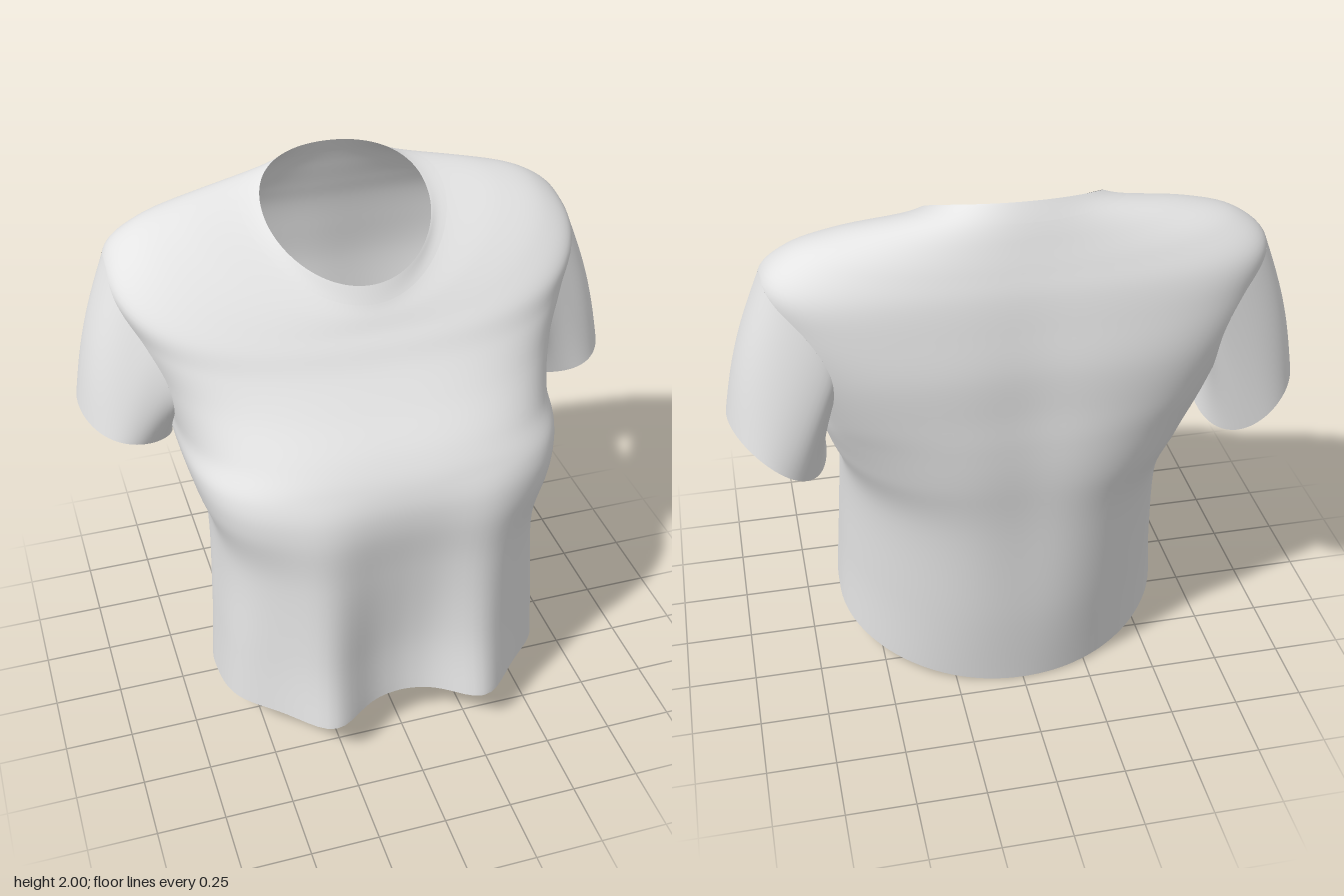
import * as THREE from 'three';

// Body rings from hem to neck:
// side x, side y, side z, front y, front z, back y, back z, front squareness, back squareness
const RINGS = [
  [0.63, 0.115, 0.08, 0.17, 0.485, 0.00, -0.45, 3.0, 2.05],
  [0.61, 0.40, 0.07, 0.42, 0.48, 0.36, -0.52, 3.1, 2.1],
  [0.595, 0.78, 0.02, 0.78, 0.515, 0.78, -0.57, 3.2, 2.25],
  [0.655, 1.00, -0.02, 1.00, 0.54, 1.00, -0.60, 3.3, 2.45],
  [0.685, 1.12, -0.08, 1.13, 0.52, 1.15, -0.61, 3.3, 2.6],
  [0.69, 1.22, -0.16, 1.24, 0.455, 1.28, -0.61, 3.1, 2.9],
  [0.74, 1.40, -0.22, 1.36, 0.34, 1.45, -0.61, 2.9, 3.2],
  [0.81, 1.58, -0.24, 1.46, 0.25, 1.60, -0.59, 2.7, 3.3],
  [0.85, 1.72, -0.24, 1.53, 0.20, 1.71, -0.57, 2.5, 3.1],
  [0.75, 1.815, -0.24, 1.57, 0.17, 1.79, -0.545, 2.3, 2.65],
  [0.58, 1.865, -0.24, 1.61, 0.145, 1.86, -0.52, 2.1, 2.3],
  [0.37, 1.89, -0.235, 1.65, 0.12, 1.94, -0.49, 2.0, 2.1],
  [0.30, 1.89, -0.20, 1.71, 0.09, 2.00, -0.46, 2.0, 2.1],
];
const COLLAR = 11; // ring where the collar band starts
const LAST = RINGS.length - 1;

// Armhole: an ellipse in (ring, angle) space
const HOLE = { u: 6.45, ru: 1.65, t: -0.1, rt: 0.6 };

// Smooth interpolation of a ring at fractional index u
function ringAt(u) {
  const i = Math.min(Math.floor(u), LAST - 1);
  const f = u - i;
  const row = (k) => RINGS[THREE.MathUtils.clamp(k, 0, LAST)];
  return RINGS[0].map((_, c) => {
    const [a, b, d, e] = [row(i - 1)[c], row(i)[c], row(i + 1)[c], row(i + 2)[c]];
    return b + 0.5 * f * (d - a + f * (2 * a - 5 * b + 4 * d - e + f * (3 * (b - d) + e - a)));
  });
}

// Quadratic through back (h = -1), side (h = 0) and front (h = 1)
const through = (back, side, front, h) =>
  side + ((front - back) / 2) * h + ((front + back) / 2 - side) * h * h;

// Point on the +x half of the body; t runs from back (-PI/2) to front (PI/2)
function bodyPoint(u, t) {
  const [xs, ys, zs, yf, zf, yb, zb, nf, nb] = ringAt(u);
  const n = t > 0 ? nf : nb;
  const c = Math.abs(Math.cos(t));
  const s = Math.sin(t);
  const r = Math.pow(Math.pow(c, n) + Math.pow(Math.abs(s), n), -1 / n);
  const h = s * r;
  const x = xs * c * r;
  const y = through(yb, ys, yf, h);
  let z = through(zb, zs, zf, h);
  if (h > 0) {
    // drape folds falling from the bust
    z += 0.165 * h * Math.max(0, 1 - y / 1.15) * Math.exp(-(((x - 0.3) / 0.145) ** 2));
  } else {
    // shallow hollow along the spine
    z += 0.02 * Math.sin(Math.PI * THREE.MathUtils.clamp(y / 1.9, 0, 1)) * Math.exp(-((x / 0.16) ** 2));
  }
  return new THREE.Vector3(x, y, z);
}

// Closed tube of rows x cols cells from a point rule
function tube(rows, cols, point, flip = false, skip = () => false) {
  const positions = [];
  const index = [];
  for (let i = 0; i <= rows; i++) {
    for (let j = 0; j < cols; j++) positions.push(...point(i, j).toArray());
  }
  for (let i = 0; i < rows; i++) {
    for (let j = 0; j < cols; j++) {
      const k = (j + 1) % cols;
      if (skip(i, j, k)) continue;
      const a = i * cols + j, b = a + cols, c = i * cols + k, d = c + cols;
      if (flip) index.push(a, c, b, c, d, b);
      else index.push(a, b, c, c, b, d);
    }
  }
  const geometry = new THREE.BufferGeometry();
  geometry.setAttribute('position', new THREE.Float32BufferAttribute(positions, 3));
  geometry.setIndex(index);
  geometry.computeVertexNormals();
  return geometry;
}

// Horizontal band of the body between two rings, with armholes left open
function bodyBand(from, to, rows) {
  const cols = 128;
  const place = (i, j) => {
    const u = from + ((to - from) * i) / rows;
    const turn = -Math.PI / 2 + (2 * Math.PI * j) / cols;
    const side = turn > Math.PI / 2 ? -1 : 1;
    const t = side < 0 ? Math.PI - turn : turn;
    const reach = Math.hypot((u - HOLE.u) / HOLE.ru, (t - HOLE.t) / HOLE.rt);
    return { u, t, side, reach };
  };
  const inside = (i, j) => place(i, j).reach < 1;
  const point = (i, j) => {
    let { u, t, side, reach } = place(i, j);
    if (reach < 1) {
      // slide onto the armhole edge
      const k = 1 / Math.max(reach, 1e-3);
      u = HOLE.u + (u - HOLE.u) * k;
      t = HOLE.t + (t - HOLE.t) * k;
    }
    const p = bodyPoint(THREE.MathUtils.clamp(u, 0, LAST), t);
    p.x *= side;
    return p;
  };
  const skip = (i, j, k) => inside(i, j) && inside(i, k) && inside(i + 1, j) && inside(i + 1, k);
  return tube(rows, cols, point, false, skip);
}

// Short sleeve from the armhole edge to the cuff
function sleeve(side) {
  const rows = 14, cols = 64;
  const point = (i, j) => {
    const v = i / rows;
    const a = (2 * Math.PI * j) / cols;
    const c = Math.cos(a), s = Math.sin(a);
    const start = bodyPoint(HOLE.u + HOLE.ru * c, HOLE.t + HOLE.rt * s);
    const cuff = new THREE.Vector3(
      0.835 + 0.165 * c,
      1.13 + 0.08 * c + 0.03 * s - 0.045 * c * s,
      -0.25 + 0.255 * s,
    );
    const p = start.lerp(cuff, v);
    // slight outward puff over the shoulder
    p.x += 0.02 * Math.sin(Math.PI * v) * Math.max(0, c);
    p.x *= side;
    return p;
  };
  return tube(rows, cols, point, side > 0);
}

export function createModel() {
  const fabric = new THREE.MeshStandardMaterial({ color: 0xe4e4e4, side: THREE.DoubleSide });
  fabric.name = 'light grey fabric';

  const shirt = new THREE.Group();
  shirt.name = 'shirt';
  const add = (name, geometry) => {
    const mesh = new THREE.Mesh(geometry, fabric);
    mesh.name = name;
    shirt.add(mesh);
  };

  add('body', bodyBand(0, COLLAR, 77));
  add('collar', bodyBand(COLLAR, LAST, 6));
  add('leftSleeve', sleeve(1));
  add('rightSleeve', sleeve(-1));
  return shirt;
}
